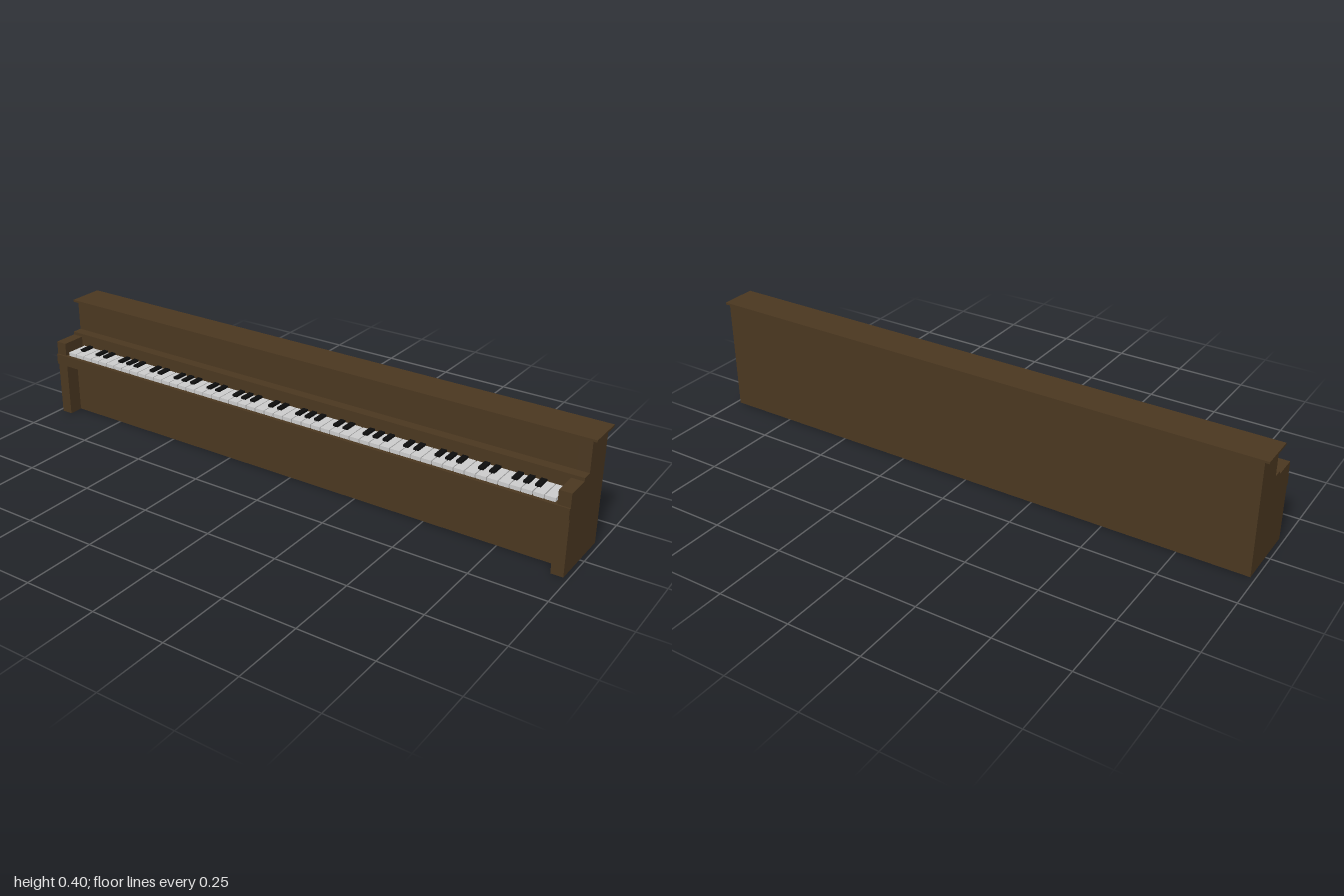
import * as THREE from 'three';

const wood = new THREE.MeshStandardMaterial({ color: 0x4a3720 });
const ivory = new THREE.MeshStandardMaterial({ color: 0xdddddd });
const ebony = new THREE.MeshStandardMaterial({ color: 0x0c0c0c });

// Box given by its limits on each axis
function block(name, material, [x0, x1], [y0, y1], [z0, z1]) {
  const mesh = new THREE.Mesh(new THREE.BoxGeometry(x1 - x0, y1 - y0, z1 - z0), material);
  mesh.position.set((x0 + x1) / 2, (y0 + y1) / 2, (z0 + z1) / 2);
  mesh.name = name;
  return mesh;
}

// Stepped end panel: leg, arm and upper case side in one profile of (z, y)
function sidePanel(name, x) {
  const profile = [[-0.117, 0], [0.115, 0], [0.115, 0.273], [0.03, 0.273],
    [0.03, 0.284], [-0.005, 0.284], [-0.005, 0.388], [-0.117, 0.388]];
  const shape = new THREE.Shape(profile.map(([z, y]) => new THREE.Vector2(-z, y)));
  const geometry = new THREE.ExtrudeGeometry(shape, { depth: 0.04, bevelEnabled: false });
  geometry.rotateY(Math.PI / 2);
  const mesh = new THREE.Mesh(geometry, wood);
  mesh.position.x = x;
  mesh.name = name;
  return mesh;
}

// 52 white and 36 black keys, starting on A
function keyboard() {
  const group = new THREE.Group();
  group.name = 'keyboard';
  const count = 52, left = -0.938, pitch = 1.876 / count, gap = 0.0015;
  const sharpAfter = [true, false, true, true, false, true, true]; // A B C D E F G
  for (let i = 0; i < count; i++) {
    const x = left + i * pitch;
    group.add(block('whiteKey', ivory, [x + gap, x + pitch - gap], [0.227, 0.24], [0.028, 0.108]));
    if (sharpAfter[i % 7] && i < count - 1) {
      const c = x + pitch;
      group.add(block('blackKey', ebony, [c - 0.009, c + 0.009], [0.232, 0.247], [0.028, 0.075]));
    }
  }
  return group;
}

export function createModel() {
  const model = new THREE.Group();
  model.name = 'uprightPiano';
  const inner = [-0.945, 0.945];

  model.add(sidePanel('leftSide', 0.945), sidePanel('rightSide', -0.985));

  // Case between the end panels
  model.add(block('upperCase', wood, inner, [0.284, 0.388], [-0.117, -0.005]));
  model.add(block('fallboard', wood, inner, [0.227, 0.284], [-0.117, 0.03]));
  model.add(block('lowerCase', wood, inner, [0, 0.19], [-0.117, 0.065]));
  model.add(block('keybed', wood, inner, [0.19, 0.227], [-0.117, 0.115]));

  // Trim
  model.add(block('keySlip', wood, [-0.985, 0.985], [0.19, 0.227], [0.11, 0.121]));
  model.add(block('lid', wood, [-1, 1], [0.388, 0.395], [-0.121, 0.004]));

  model.add(keyboard());
  return model;
}
